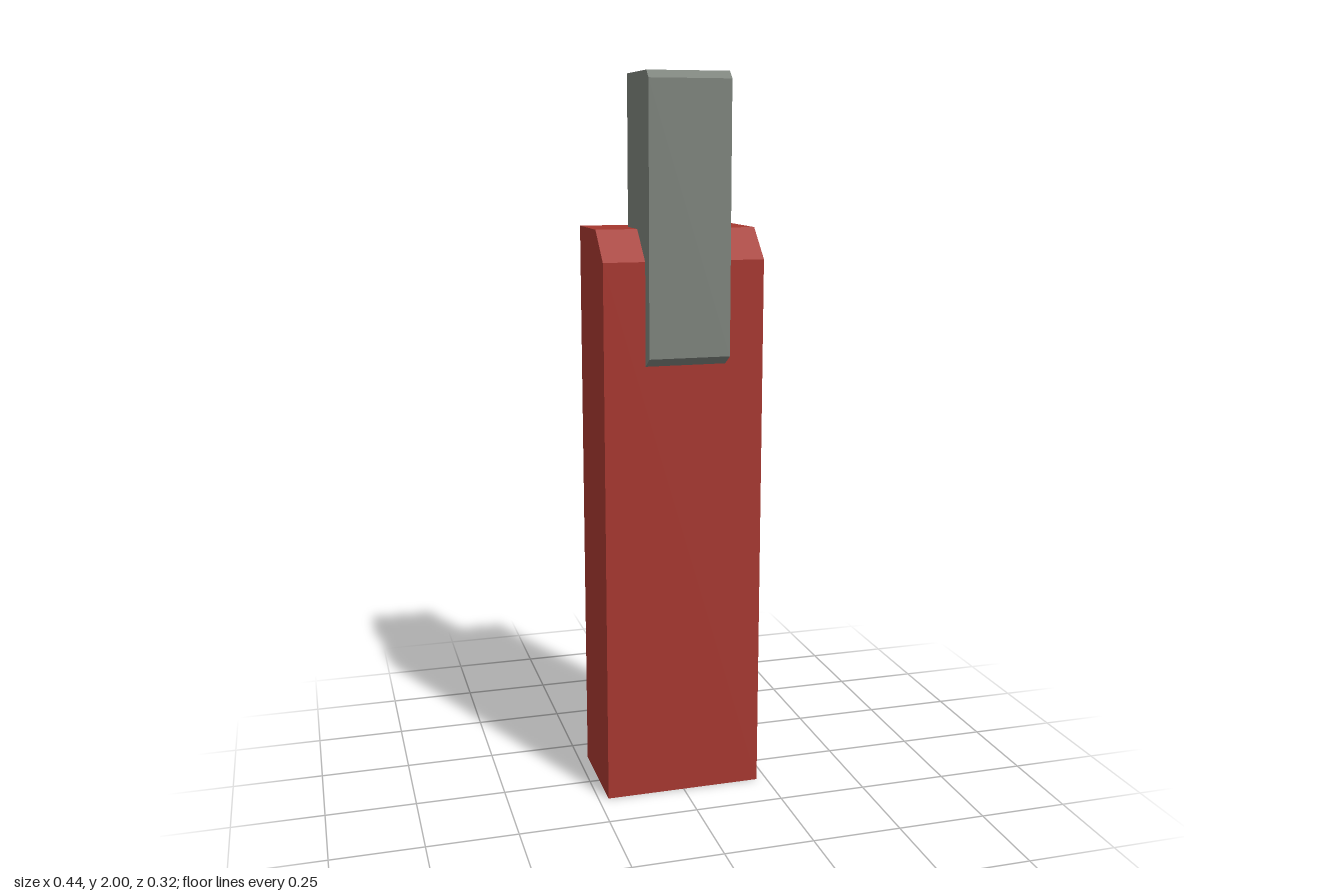
import * as THREE from 'three';

// Hollow sheet shell: a convex [z, y] profile swept from x0 to x1.
// The sweep leaves the gap between the last and first points open;
// "corners" are extra profile points used only by the two side walls.
function shell(name, material, x0, x1, profile, corners = []) {
  const pos = [];
  const tri = (...pts) => pts.forEach(([x, [z, y]]) => pos.push(x, y, z));
  for (let i = 0; i < profile.length - 1; i++) {
    const a = profile[i], b = profile[i + 1];
    tri([x0, a], [x0, b], [x1, b]);
    tri([x0, a], [x1, b], [x1, a]);
  }
  const side = [...profile, ...corners];
  for (let i = 1; i < side.length - 1; i++) {
    tri([x1, side[0]], [x1, side[i]], [x1, side[i + 1]]);
    tri([x0, side[0]], [x0, side[i + 1]], [x0, side[i]]);
  }
  const geometry = new THREE.BufferGeometry();
  geometry.setAttribute('position', new THREE.Float32BufferAttribute(pos, 3));
  geometry.computeVertexNormals();
  const mesh = new THREE.Mesh(geometry, material);
  mesh.name = name;
  return mesh;
}

export function createModel() {
  const red = new THREE.MeshStandardMaterial({ color: 0xa5372f, side: THREE.DoubleSide });
  red.name = 'red';
  const grey = new THREE.MeshStandardMaterial({ color: 0x7b817a, side: THREE.DoubleSide });
  grey.name = 'grey';

  const model = new THREE.Group();
  model.name = 'casing';

  // Tall body, bevelled at the top front and open underneath
  model.add(shell('body', red, -0.222, 0.222, [
    [-0.16, 0], [-0.16, 1.594], [0.035, 1.594], [0.118, 1.513], [0.118, 0],
  ]));

  // Hood over the top, open at the back, with its lower lip tucked into the body
  model.add(shell('hood', grey, -0.108, 0.115, [
    [-0.066, 2], [0.137, 2], [0.158, 1.98], [0.158, 1.26], [0.11, 1.23],
  ], [[-0.066, 1.23]]));

  return model;
}
